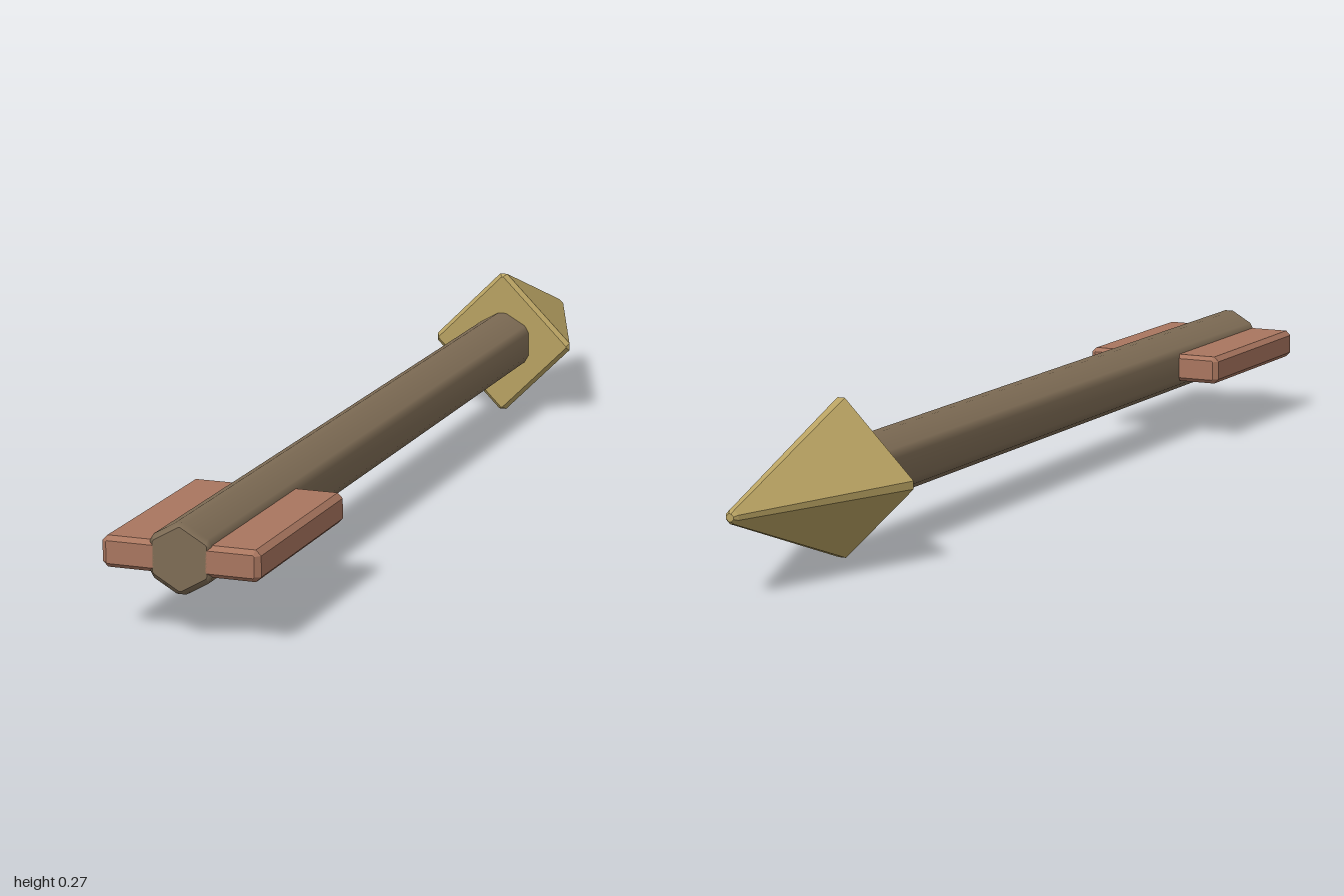
import * as THREE from 'three';

const Y = 0.1375; // height of the arrow's axis

// Replace every corner of a polygon with a short chamfer of length c
function chamfer(corners, c) {
  const pts = [];
  corners.forEach((p, i) => {
    const n = corners.length;
    for (const q of [corners[(i + n - 1) % n], corners[(i + 1) % n]]) {
      pts.push(q.clone().sub(p).setLength(c).add(p));
    }
  });
  return pts;
}

// Regular polygon with one corner pointing up
function polygon(sides, radius, c) {
  const corners = [];
  for (let i = 0; i < sides; i++) {
    const a = Math.PI / 2 + (i / sides) * Math.PI * 2;
    corners.push(new THREE.Vector2(Math.cos(a) * radius, Math.sin(a) * radius));
  }
  return chamfer(corners, c);
}

function rectangle(x0, x1, h, c) {
  const V = (x, y) => new THREE.Vector2(x, y);
  return chamfer([V(x0, -h), V(x1, -h), V(x1, h), V(x0, h)], c);
}

// Skin a list of [z, cross-section] from back to front and cap both ends
function loft(name, material, sections, flat) {
  const pos = [], index = [];
  const n = sections[0][1].length;
  const addRing = ([z, pts]) => {
    const start = pos.length / 3;
    pts.forEach((p) => pos.push(p.x, p.y + Y, z));
    return start;
  };
  const starts = sections.map(addRing);
  for (let s = 0; s < starts.length - 1; s++) {
    for (let i = 0; i < n; i++) {
      const j = (i + 1) % n, a = starts[s], b = starts[s + 1];
      index.push(a + i, a + j, b + j, a + i, b + j, b + i);
    }
  }
  const back = addRing(sections[0]);
  const front = addRing(sections[sections.length - 1]);
  for (let i = 1; i < n - 1; i++) {
    index.push(front, front + i, front + i + 1, back, back + i + 1, back + i);
  }
  let geo = new THREE.BufferGeometry();
  geo.setAttribute('position', new THREE.Float32BufferAttribute(pos, 3));
  geo.setIndex(index);
  if (flat) geo = geo.toNonIndexed();
  geo.computeVertexNormals();
  const mesh = new THREE.Mesh(geo, material);
  mesh.name = name;
  return mesh;
}

function mat(name, color) {
  const m = new THREE.MeshStandardMaterial({ color });
  m.name = name;
  return m;
}

export function createModel() {
  const wood = mat('brown wood', 0x7e6c55);
  const brass = mat('dull gold', 0xb8a262);
  const clay = mat('red brown', 0xa9765f);

  const arrow = new THREE.Group();
  arrow.name = 'arrow';

  // Hexagonal shaft with softened edges
  const body = polygon(6, 0.064, 0.0095);
  const end = polygon(6, 0.054, 0.002);
  arrow.add(loft('shaft', wood, [[-0.635, body], [0.993, body], [1, end]], false));

  // Four-sided head with chamfered edges and a blunt tip
  arrow.add(loft('head', brass, [
    [-1, polygon(4, 0.009, 0.003)],
    [-0.993, polygon(4, 0.016, 0.006)],
    [-0.635, polygon(4, 0.1445, 0.01)],
    [-0.627, polygon(4, 0.134, 0.002)],
  ], true));

  // A pair of chamfered fins at the tail
  for (const [name, side] of [['leftFin', 1], ['rightFin', -1]]) {
    const range = (a, b) => (side > 0 ? [a, b] : [-b, -a]);
    const full = rectangle(...range(0.038, 0.137), 0.0265, 0.009);
    const inset = rectangle(...range(0.045, 0.128), 0.019, 0.002);
    arrow.add(loft(name, clay, [[0.62, inset], [0.628, full], [0.992, full], [1, inset]], true));
  }
  return arrow;
}
